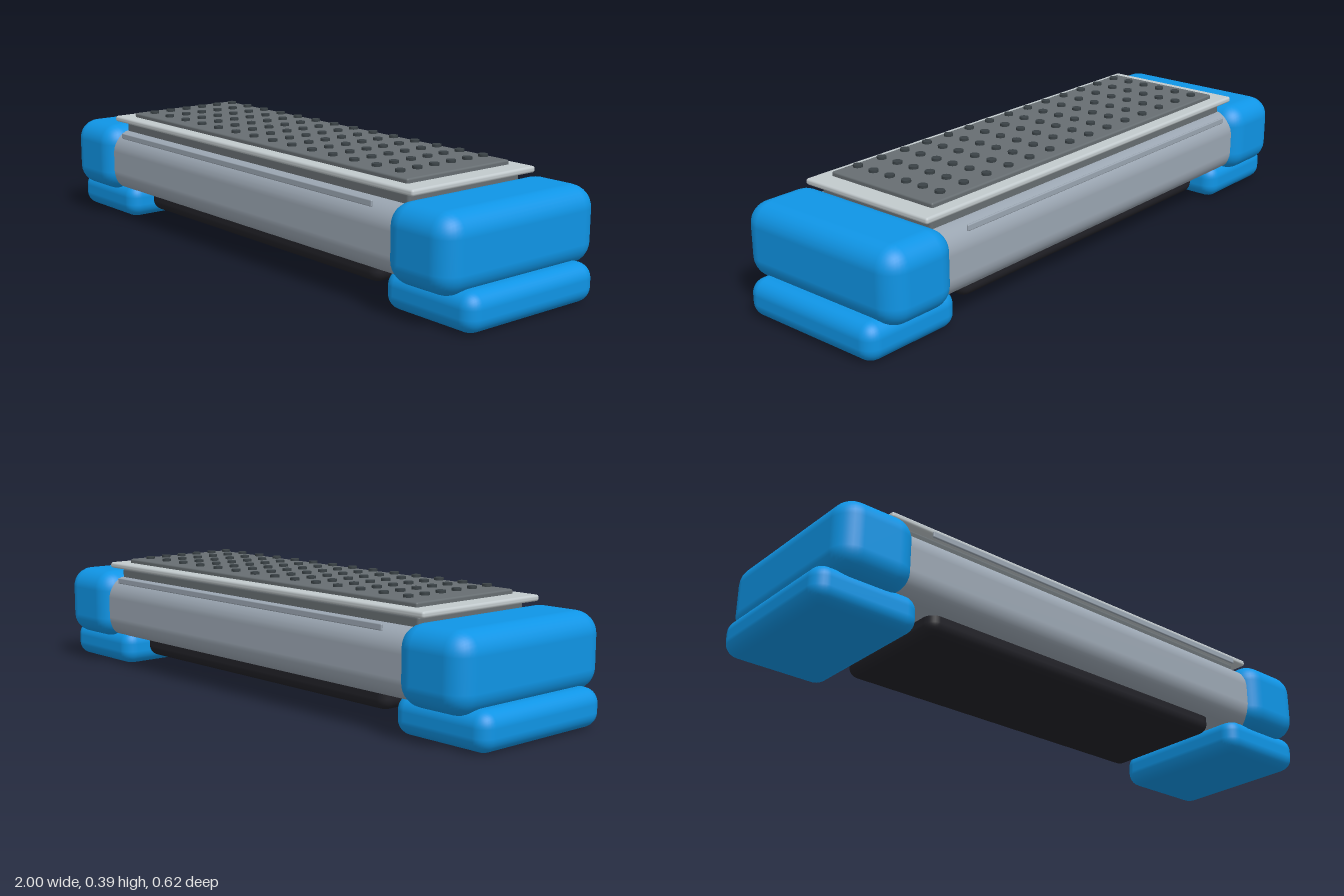
import * as THREE from 'three';
import { RoundedBoxGeometry } from 'three/addons/geometries/RoundedBoxGeometry.js';

const mat = (name, color) => {
  const m = new THREE.MeshStandardMaterial({ color });
  m.name = name;
  return m;
};

export function createModel() {
  const group = new THREE.Group();
  const blue = mat('blue rubber', 0x0f95e6);
  const steel = mat('steel grey', 0x9ba6b2);
  const silver = mat('pale silver', 0xc2cacd);
  const grey = mat('mat grey', 0x676e72);
  const dark = mat('stud grey', 0x3a4246);
  const black = mat('soft black', 0x222228);

  // Rounded box given by its x, y and z ranges
  const box = (name, material, [x0, x1], [y0, y1], [z0, z1], radius, segments = 4) => {
    const mesh = new THREE.Mesh(
      new RoundedBoxGeometry(x1 - x0, y1 - y0, z1 - z0, segments, radius), material);
    mesh.position.set((x0 + x1) / 2, (y0 + y1) / 2, (z0 + z1) / 2);
    mesh.name = name;
    group.add(mesh);
  };

  // Main body and the tray beneath it
  box('body', steel, [-0.8, 0.8], [0.1, 0.31], [-0.286, 0.286], 0.07);
  box('underTray', black, [-0.595, 0.595], [0.045, 0.14], [-0.22, 0.22], 0.035);

  // End caps and feet
  for (const s of [-1, 1]) {
    const span = (a, b) => (s > 0 ? [a, b] : [-b, -a]);
    const side = s > 0 ? 'left' : 'right';
    box(side + 'EndCap', blue, span(0.705, 0.96), [0.095, 0.33], [-0.311, 0.311], 0.068);
    box(side + 'Foot', blue, span(0.655, 1), [0, 0.118], [-0.258, 0.258], 0.046);
  }

  // Thin trim rails along the long upper edges
  for (const s of [-1, 1]) {
    const z = s * 0.291;
    box(s > 0 ? 'frontRail' : 'backRail', steel, [-0.65, 0.65], [0.298, 0.318], [z - 0.004, z + 0.004], 0.0035, 2);
  }

  // Stacked top plates
  box('plateBase', grey, [-0.725, 0.725], [0.3, 0.341], [-0.225, 0.225], 0.01, 2);
  box('topPlate', silver, [-0.765, 0.765], [0.34, 0.36], [-0.25, 0.25], 0.008, 2);
  box('gripMat', grey, [-0.7, 0.7], [0.352, 0.374], [-0.207, 0.207], 0.006, 2);

  // Grid of grip studs
  const studs = new THREE.Group();
  studs.name = 'gripStuds';
  const studGeometry = new THREE.CylinderGeometry(0.015, 0.015, 0.008, 14);
  for (let i = 0; i < 14; i++) {
    for (let j = 0; j < 6; j++) {
      const stud = new THREE.Mesh(studGeometry, dark);
      stud.name = 'stud';
      stud.position.set(-0.63 + (i * 1.26) / 13, 0.382, -0.169 + j * 0.0676);
      studs.add(stud);
    }
  }
  group.add(studs);
  return group;
}
